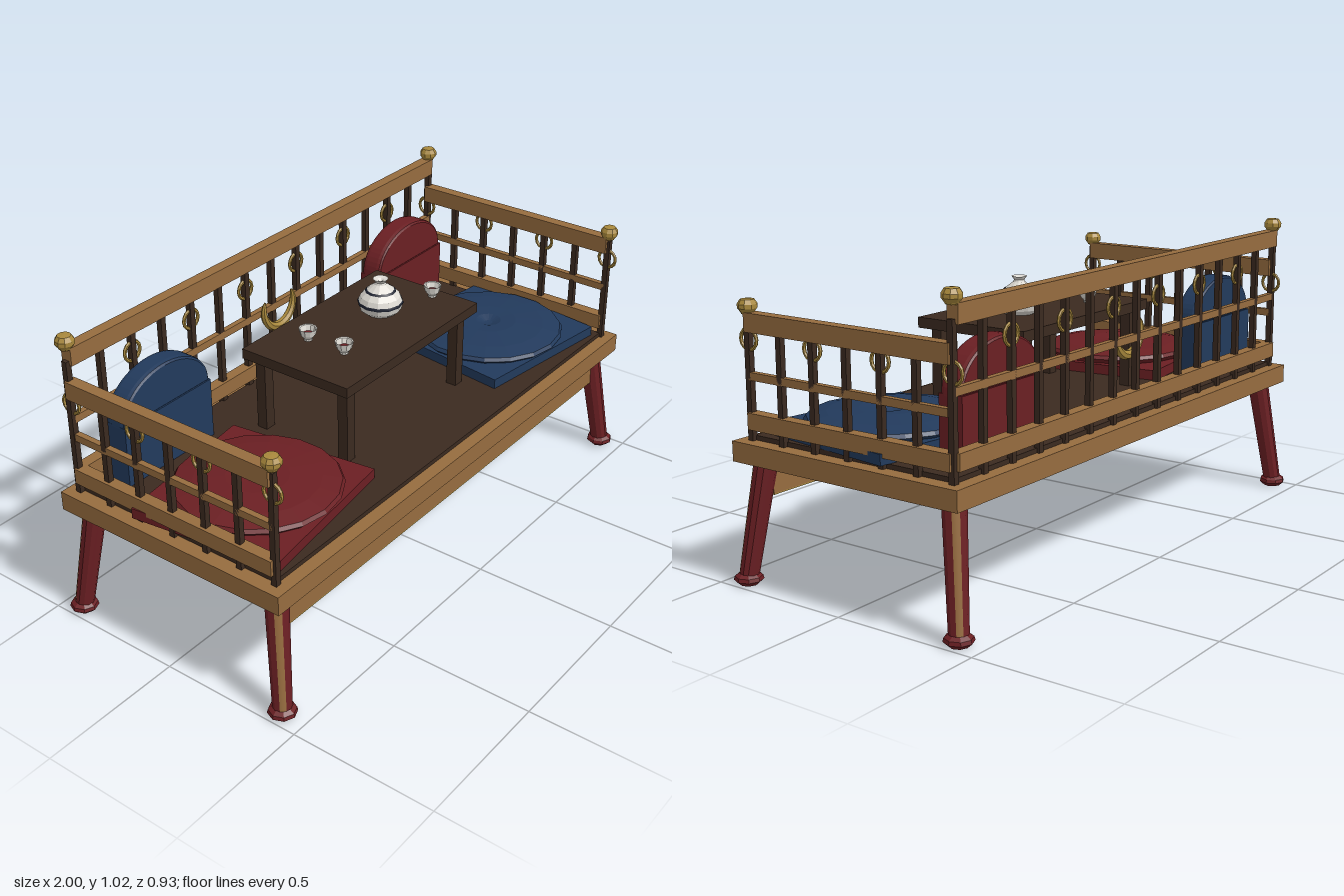
import * as THREE from 'three';

const mat = (name, color, extra = {}) => {
  const m = new THREE.MeshStandardMaterial({ color, ...extra });
  m.name = name;
  return m;
};

export function createModel() {
  const root = new THREE.Group();
  root.name = 'daybed';
  const wood = mat('warm wood', 0x966c3f);
  const dark = mat('dark wood', 0x3b2a20);
  const red = mat('deep red', 0x6b1f23, { flatShading: true });
  const blue = mat('navy blue', 0x223a5c, { flatShading: true });
  const gold = mat('gold', 0xa8883c, { flatShading: true });
  const white = mat('porcelain', 0xdedbd4, { flatShading: true, side: THREE.DoubleSide });
  const ink = mat('ink glaze', 0x1d2230, { side: THREE.DoubleSide });

  const add = (name, geo, material, x = 0, y = 0, z = 0, parent = root) => {
    const m = new THREE.Mesh(geo, material);
    m.name = name;
    m.position.set(x, y, z);
    parent.add(m);
    return m;
  };
  // Box given by its centre in x and z and its bottom and top
  const box = (name, material, w, d, y0, y1, x = 0, z = 0) =>
    add(name, new THREE.BoxGeometry(w, y1 - y0, d), material, x, (y0 + y1) / 2, z);
  const lathe = (points, sides) =>
    new THREE.LatheGeometry(points.map(p => new THREE.Vector2(...p)), sides);

  // Platform
  box('platformFrame', wood, 1.96, 0.88, 0.4, 0.465);
  box('platformTop', dark, 1.86, 0.79, 0.465, 0.48);
  box('frontApron', wood, 1.79, 0.04, 0.29, 0.4, 0, 0.375);
  box('apronTrim', gold, 1.79, 0.04, 0.286, 0.29, 0, 0.375);

  // Splayed legs, with bare wood along the outer corner
  const footGeo = lathe([[0, 0], [0.03, 0], [0.047, 0.015], [0.044, 0.027], [0.03, 0.037], [0, 0.037]], 8);
  for (const sx of [-1, 1]) for (const sz of [-1, 1]) {
    const top = new THREE.Vector3(sx * 0.905, 0.42, sz * 0.368);
    const low = new THREE.Vector3(sx * 0.955, 0.02, sz * 0.42);
    const axis = top.clone().sub(low);
    const leg = new THREE.Group();
    leg.name = 'leg';
    leg.position.copy(top).add(low).multiplyScalar(0.5);
    leg.quaternion.setFromUnitVectors(new THREE.Vector3(0, 1, 0), axis.clone().normalize());
    root.add(leg);
    const corner = Math.atan2(sx, sz), half = 0.33;
    const wall = (start, length, n) =>
      new THREE.CylinderGeometry(0.038, 0.031, axis.length(), n, 1, true, start, length);
    add('legPaint', wall(corner + half, Math.PI * 2 - half * 2, 10), red, 0, 0, 0, leg);
    add('legBareWood', wall(corner - half, half * 2, 2), wood, 0, 0, 0, leg);
    add('foot', footGeo, red, low.x, 0, low.z);
  }

  // Railings
  const ringGeo = new THREE.TorusGeometry(0.033, 0.006, 6, 14);
  const finialGeo = lathe([[0, 0], [0.019, 0], [0.022, 0.006], [0.031, 0.018], [0.031, 0.031], [0.022, 0.045], [0, 0.047]], 9);
  const spindle = (x, z, top) => box('spindle', dark, 0.02, 0.02, 0.465, top, x, z);

  box('backTopRail', wood, 1.87, 0.04, 0.915, 0.975, 0, -0.395);
  box('backMiddleRail', wood, 1.87, 0.02, 0.715, 0.74, 0, -0.395);
  box('backBottomRail', wood, 1.87, 0.04, 0.502, 0.555, 0, -0.395);
  for (let i = -7; i <= 7; i++) {
    const x = i * 0.134;
    spindle(x, -0.395, 0.93);
    if (i % 2 && Math.abs(i) < 7) add('backRing', ringGeo, gold, x, 0.845, -0.395);
  }
  for (const s of [-1, 1]) {
    const x = s * 0.935;
    box('sideTopRail', wood, 0.04, 0.79, 0.805, 0.865, x);
    box('sideMiddleRail', wood, 0.02, 0.79, 0.655, 0.68, x);
    box('sideBottomRail', wood, 0.04, 0.79, 0.502, 0.555, x);
    for (let i = -3; i <= 3; i++) {
      const z = i * 0.1317;
      if (i > -3) spindle(x, z, 0.85);
      if (i % 2) add('sideRing', ringGeo, gold, x, 0.78, z).rotation.y = Math.PI / 2;
    }
    add('frontFinial', finialGeo, gold, x, 0.858, 0.395);
    add('backFinial', finialGeo, gold, x, 0.97, -0.395);
  }

  // Gold crescent hanging on the back: a tube that thins towards its tips
  const crescentGeo = new THREE.TorusGeometry(0.077, 0.016, 7, 24, Math.PI * 1.3);
  const p = crescentGeo.attributes.position;
  for (let i = 0; i < p.count; i++) {
    const t = (i % 25) / 24, a = t * Math.PI * 1.3;
    const k = 0.15 + 0.85 * Math.pow(Math.sin(Math.PI * t), 0.5);
    const cx = Math.cos(a) * 0.077, cy = Math.sin(a) * 0.077;
    p.setXYZ(i, cx + (p.getX(i) - cx) * k, cy + (p.getY(i) - cy) * k, p.getZ(i) * k);
  }
  crescentGeo.computeVertexNormals();
  const crescent = add('goldCrescent', crescentGeo, gold, 0, 0.742, -0.365);
  crescent.rotation.z = Math.PI * 0.85;

  // Seat cushions and backrests
  const seatGeo = lathe([[0, 0], [0.25, 0], [0.27, 0.018], [0.262, 0.03], [0.2, 0.042], [0.1, 0.05], [0.045, 0.047], [0.015, 0.036], [0, 0.035]], 18);
  const arch = new THREE.Shape();
  arch.moveTo(-0.185, 0);
  arch.lineTo(0.185, 0);
  arch.absellipse(0, 0, 0.185, 0.135, 0, Math.PI, false);
  const archGeo = new THREE.ExtrudeGeometry(arch, {
    depth: 0.045, bevelEnabled: true, bevelSize: 0.009, bevelThickness: 0.016, bevelSegments: 2, curveSegments: 14,
  });
  archGeo.translate(0, 0, -0.0225);
  for (const s of [-1, 1]) {
    const seatColor = s < 0 ? red : blue, backColor = s < 0 ? blue : red;
    const mat0 = box('seatMat', seatColor, 0.55, 0.53, 0.48, 0.515, s * 0.655, 0.08);
    mat0.rotation.y = -s * 0.13;
    add('roundSeatCushion', seatGeo, seatColor, s * 0.648, s < 0 ? 0.514 : 0.508, 0.085);
    box('backrestBase', backColor, 0.388, 0.085, 0.48, 0.69, s * 0.652, -0.312);
    add('backrestArch', archGeo, backColor, s * 0.652, 0.692, -0.312);
  }

  // Tea table
  box('tableTop', dark, 0.725, 0.425, 0.745, 0.78, -0.003, 0.002);
  for (const x of [-0.31, 0.304]) for (const z of [-0.168, 0.168])
    box('tableLeg', dark, 0.04, 0.038, 0.48, 0.745, x, z);

  // Teapot with a pinched neck, flared crown and glazed bands
  const potX = 0.11, potZ = -0.01;
  add('teapot', lathe([[0, 0], [0.05, 0], [0.07, 0.016], [0.077, 0.04], [0.068, 0.063], [0.045, 0.086],
    [0.02, 0.105], [0.017, 0.112], [0.026, 0.124], [0.012, 0.12], [0, 0.11]], 12), white, potX, 0.78, potZ);
  add('teapotLowerBand', lathe([[0.0765, 0.036], [0.0785, 0.04], [0.0755, 0.047]], 12), ink, potX, 0.78, potZ);
  add('teapotUpperBand', lathe([[0.053, 0.08], [0.0465, 0.086]], 12), ink, potX, 0.78, potZ);

  // Tea bowls
  const bowlGeo = lathe([[0, 0], [0.014, 0], [0.014, 0.007], [0.025, 0.02], [0.031, 0.043], [0.027, 0.041], [0.02, 0.02], [0, 0.013]], 10);
  const teaGeo = new THREE.CylinderGeometry(0.02, 0.018, 0.004, 10);
  for (const [x, z] of [[-0.19, -0.08], [-0.19, 0.068], [0.31, 0.063]]) {
    add('teaBowl', bowlGeo, white, x, 0.78, z);
    add('tea', teaGeo, red, x, 0.801, z);
  }
  return root;
}
